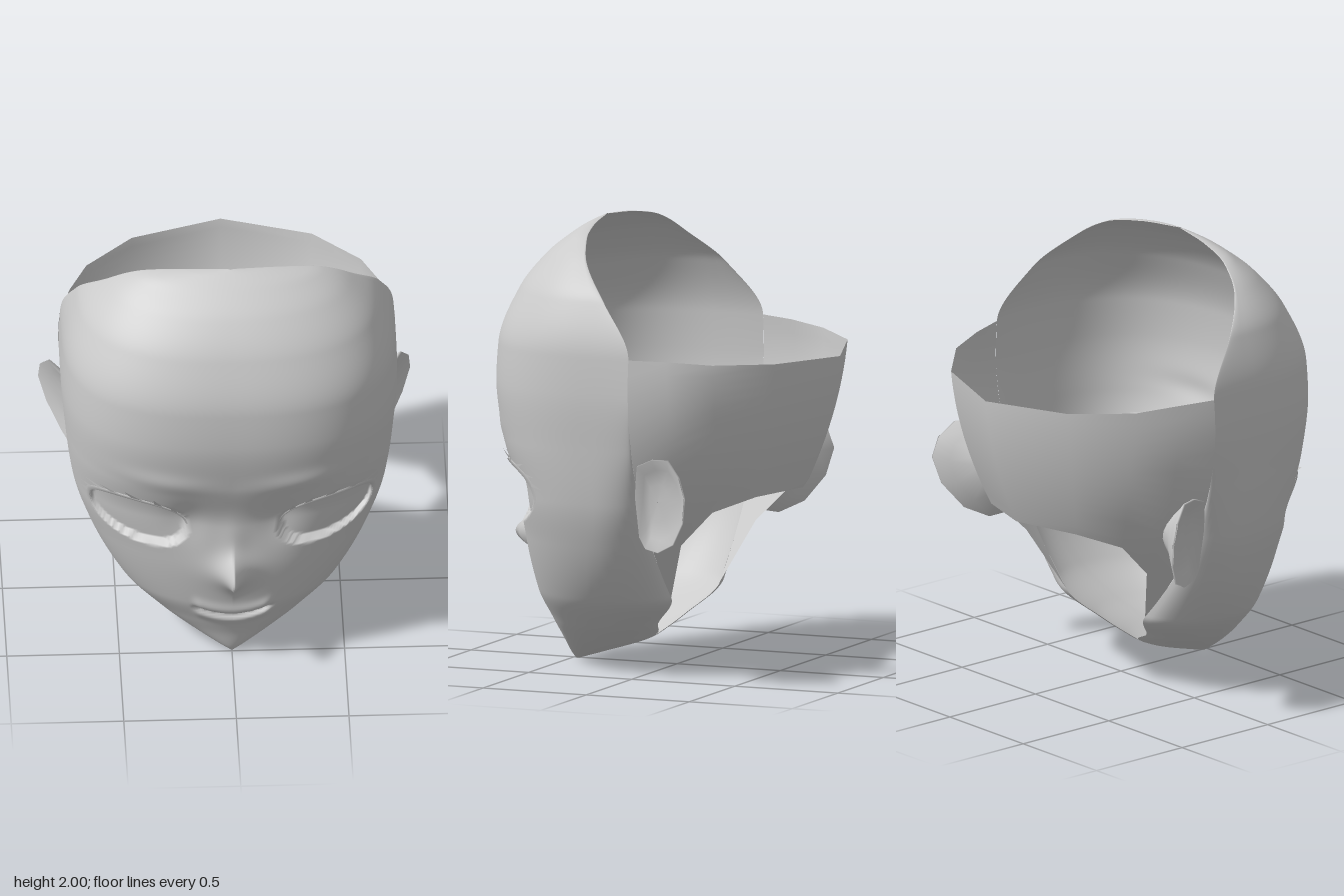
import * as THREE from 'three';

const material = new THREE.MeshStandardMaterial({ color: 0xcccccc, side: THREE.DoubleSide });

// Horizontal half sections of the face, bottom to top:
// [height, front z, half width, z of widest point, roundness, end x, end z]
const SECTIONS = [
  [0.00, 0.49, 0.01, 0.48, 2.0, 0, 0.47],
  [0.03, 0.505, 0.07, 0.44, 2.0, 0, 0.37],
  [0.12, 0.53, 0.23, 0.35, 2.0, 0, 0.11],
  [0.20, 0.56, 0.35, 0.28, 2.0, 0.14, 0.03],
  [0.34, 0.61, 0.50, 0.20, 2.1, 0.27, -0.09],
  [0.60, 0.64, 0.64, 0.13, 2.3, 0.49, -0.09],
  [0.80, 0.645, 0.70, 0.10, 2.6, 0.613, -0.09],
  [1.05, 0.71, 0.73, 0.10, 2.7, 0.711, -0.09],
  [1.30, 0.745, 0.747, 0.10, 2.7, 0.747, -0.09],
  [1.47, 0.735, 0.742, 0.10, 2.7, 0.74, -0.09],
  [1.71, 0.65, 0.675, 0.12, 2.5, 0.67, 0.06],
  [1.86, 0.54, 0.545, 0.21, 2.2, 0.54, 0.20],
  [1.95, 0.43, 0.395, 0.27, 2.0, 0.39, 0.265],
  [1.985, 0.375, 0.21, 0.315, 2.0, 0.20, 0.31],
  [2.00, 0.345, 0.01, 0.34, 2.0, 0, 0.34],
];

// Smooth interpolation of a whole section at height y
function sectionAt(y) {
  const S = SECTIONS, last = S.length - 1;
  let i = 0;
  while (i < last - 1 && y > S[i + 1][0]) i++;
  const h = S[i + 1][0] - S[i][0];
  const t = THREE.MathUtils.clamp((y - S[i][0]) / h, 0, 1);
  const slope = (k, c) => {
    const a = S[Math.max(k - 1, 0)], b = S[Math.min(k + 1, last)], m = S[k];
    if (a === m || b === m) return (b[c] - a[c]) / (b[0] - a[0]);
    const d0 = (m[c] - a[c]) / (m[0] - a[0]), d1 = (b[c] - m[c]) / (b[0] - m[0]);
    return d0 * d1 > 0 ? 2 * d0 * d1 / (d0 + d1) : 0;
  };
  const mix = c => {
    const p = S[i][c], q = S[i + 1][c], t2 = t * t, t3 = t2 * t;
    return p * (2 * t3 - 3 * t2 + 1) + q * (3 * t2 - 2 * t3)
      + h * (slope(i, c) * (t3 - 2 * t2 + t) + slope(i + 1, c) * (t3 - t2));
  };
  return { F: mix(1), W: mix(2), c: mix(3), n: mix(4), ex: mix(5), ez: mix(6) };
}

const bell = (d, w) => Math.exp(-(d * d) / (w * w));

// Eye outline: a tilted, slightly squared oval
const EYE = { x: 0.415, y: 0.805, a: 0.215, b: 0.132, tilt: 0.14, n: 2.3 };

function eyeRadius(x, y) {
  const dx = Math.abs(x) - EYE.x, dy = y - EYE.y - EYE.tilt * dx;
  return (Math.abs(dx / EYE.a) ** EYE.n + Math.abs(dy / EYE.b) ** EYE.n) ** (1 / EYE.n);
}

function eyePoint(angle, r = 1) {
  const pow = v => Math.sign(v) * Math.abs(v) ** (2 / EYE.n);
  const dx = r * EYE.a * pow(Math.cos(angle));
  return [EYE.x + dx, EYE.y + EYE.tilt * dx + r * EYE.b * pow(Math.sin(angle))];
}

// Nose, mouth, brows and eye recess, as an offset along z
function relief(x, y) {
  const ax = Math.abs(x);
  const nose = 0.145 * bell(y - 0.55, y > 0.55 ? 0.085 : 0.09) * Math.exp(-ax / 0.05);
  const bridge = 0.012 * bell(y - 0.72, 0.12) * bell(ax, 0.06);
  const socket = -0.02 * bell(ax - 0.2, 0.09) * bell(y - 0.82, 0.12);
  const brow = 0.012 * bell(ax - 0.3, 0.18) * bell(y - 1.05 - 0.1 * ax, 0.05);
  const lipLine = 0.26 + 1.5 * x * x;
  const fade = 1 - THREE.MathUtils.smoothstep(ax, 0.14, 0.19);
  const mouth = fade * (-0.025 * bell(y - lipLine, 0.014)
    + 0.012 * bell(y - lipLine - 0.04, 0.03) + 0.008 * bell(y - lipLine + 0.035, 0.025));
  const eye = -0.045 * (1 - THREE.MathUtils.smoothstep(eyeRadius(x, y), 0.92, 1));
  return nose + bridge + socket + brow + mouth + eye;
}

function faceZ(x, y) {
  const s = sectionAt(y), q = Math.min(Math.abs(x) / s.W, 1);
  return s.c + (s.F - s.c) * (1 - q ** s.n) ** (1 / s.n);
}

// Smooth surface from a grid of points; rows go up, columns to the viewer's right
function gridMesh(name, rows, closed = false) {
  const cols = rows[0].length, index = [];
  for (let i = 0; i < rows.length - 1; i++) {
    for (let j = 0; j < (closed ? cols : cols - 1); j++) {
      const a = i * cols + j, b = i * cols + (j + 1) % cols;
      index.push(a, b, b + cols, a, b + cols, a + cols);
    }
  }
  const geo = new THREE.BufferGeometry();
  geo.setAttribute('position', new THREE.Float32BufferAttribute(rows.flat(2), 3));
  geo.setIndex(index);
  geo.computeVertexNormals();
  const mesh = new THREE.Mesh(geo, material);
  mesh.name = name;
  return mesh;
}

const mirrorRow = half => [...half.slice(1).reverse().map(([x, y, z]) => [-x, y, z]), ...half];

function makeFace() {
  const FRONT = 60, SIDE = 10, heights = [0];
  for (let i = 1; i < SECTIONS.length; i++) {
    const y0 = SECTIONS[i - 1][0], dy = SECTIONS[i][0] - y0;
    const steps = Math.max(3, Math.ceil(dy / 0.012));
    for (let k = 1; k <= steps; k++) heights.push(y0 + dy * k / steps);
  }
  return gridMesh('face', heights.map(y => {
    const { F, W, c, n, ex, ez } = sectionAt(y), half = [];
    for (let j = 0; j <= FRONT; j++) {
      const t = Math.PI / 2 * (j / FRONT) ** 1.35;
      const x = W * Math.sin(t) ** (2 / n);
      const z = c + (F - c) * Math.max(Math.cos(t), 0) ** (2 / n);
      half.push([x, y, z + relief(x, y)]);
    }
    for (let j = 1; j <= SIDE; j++) {
      const t = Math.PI / 2 * j / SIDE;
      half.push([ex + (W - ex) * Math.cos(t), y, c + (ez - c) * Math.sin(t)]);
    }
    return mirrorRow(half);
  }));
}

// Band round the back of the head, between the open crown and the neck hole
function makeBackBand() {
  const low = [[0.27, 0.34, -0.09], [0.41, 0.6, -0.2], [0.43, 0.76, -0.36], [0.29, 0.82, -0.51], [0, 0.83, -0.61]];
  const mid = [[0.66, 0.905, -0.09], [0.65, 1.03, -0.26], [0.56, 1.1, -0.43], [0.37, 1.13, -0.6], [0, 1.13, -0.73]];
  const top = [[0.74, 1.47, -0.09], [0.69, 1.465, -0.25], [0.61, 1.45, -0.44], [0.4, 1.44, -0.65], [0, 1.43, -0.79]];
  const rows = [];
  for (let i = 0; i <= 14; i++) {
    const t = i / 14;
    const half = low.map((p, k) => p.map((v, a) =>
      v * (1 - t) * (1 - 2 * t) + mid[k][a] * 4 * t * (1 - t) + top[k][a] * t * (2 * t - 1)));
    rows.push([...half, ...half.slice(0, -1).reverse().map(([x, y, z]) => [-x, y, z])]);
  }
  return gridMesh('backOfHead', rows);
}

// Flared ear: loops run from the base inside the head, over the rim, into the cup
function makeEar() {
  const outline = [[-0.1, 0.66], [-0.09, 0.85], [-0.11, 0.99], [-0.2, 1.03], [-0.3, 1.04], [-0.37, 0.97],
    [-0.4, 0.88], [-0.375, 0.76], [-0.3, 0.65], [-0.2, 0.6], [-0.13, 0.61]];
  const cz = -0.23, cy = 0.83;
  // [scale, depth below the rim plane, shift in z]
  const loops = [[0.3, 0.2, 0.05], [0.5, 0.13, 0.04], [0.8, 0.05, 0.01], [1, 0.01, 0],
    [0.98, 0, 0], [0.75, 0.025, 0], [0.4, 0.045, 0.02], [0.01, 0.05, 0.03]];
  return gridMesh('ear', loops.map(([s, depth, shift]) => outline.map(([z0, y0]) => {
    const z = cz + (z0 - cz) * s, y = cy + (y0 - cy) * s, back = -z - 0.1;
    return [0.67 + 0.25 * back + 0.8 * back * back + 0.15 * (y - 0.8) - depth, y, z + shift];
  })), true);
}

// Lid edge and pointed lashes along the upper outer eye
function makeLashes() {
  const group = new THREE.Group();
  group.name = 'lashes';
  const onFace = (angle, r, lift) => {
    const [x, y] = eyePoint(angle, r);
    return [x, y, faceZ(x, y) + lift];
  };
  const strip = [[], [], []];
  for (let i = 0; i <= 32; i++) {
    const t = i / 32, angle = 2.9 - 3.5 * t, thick = Math.sin(Math.PI * t);
    strip[0].push(onFace(angle, 0.97, -0.01));
    strip[1].push(onFace(angle, 1 + 0.04 * thick, 0.012 * thick));
    strip[2].push(onFace(angle, 1.02 + 0.1 * thick, 0.001));
  }
  group.add(gridMesh('upperLid', strip));
  const spikes = [[0.15, 0.14], [0.45, 0.17], [0.8, 0.3], [1.1, 0.28], [1.5, 0.32], [1.85, 0.3], [2.2, 0.24]];
  for (const [angle, length] of spikes) {
    const tip = onFace(angle - 0.12, 1.08 + length, 0.02);
    const a = onFace(angle + 0.16, 1.05, 0.004), b = onFace(angle - 0.04, 1.05, 0.004);
    group.add(gridMesh('lash', [[a, b], [tip, tip]]));
  }
  return group;
}

export function createModel() {
  const head = new THREE.Group();
  head.name = 'head';
  head.add(makeFace(), makeBackBand());
  for (const [side, sign] of [['left', 1], ['right', -1]]) {
    const half = new THREE.Group();
    half.name = side + 'EarAndLashes';
    half.add(makeEar(), makeLashes());
    half.scale.x = sign;
    head.add(half);
  }
  return head;
}
